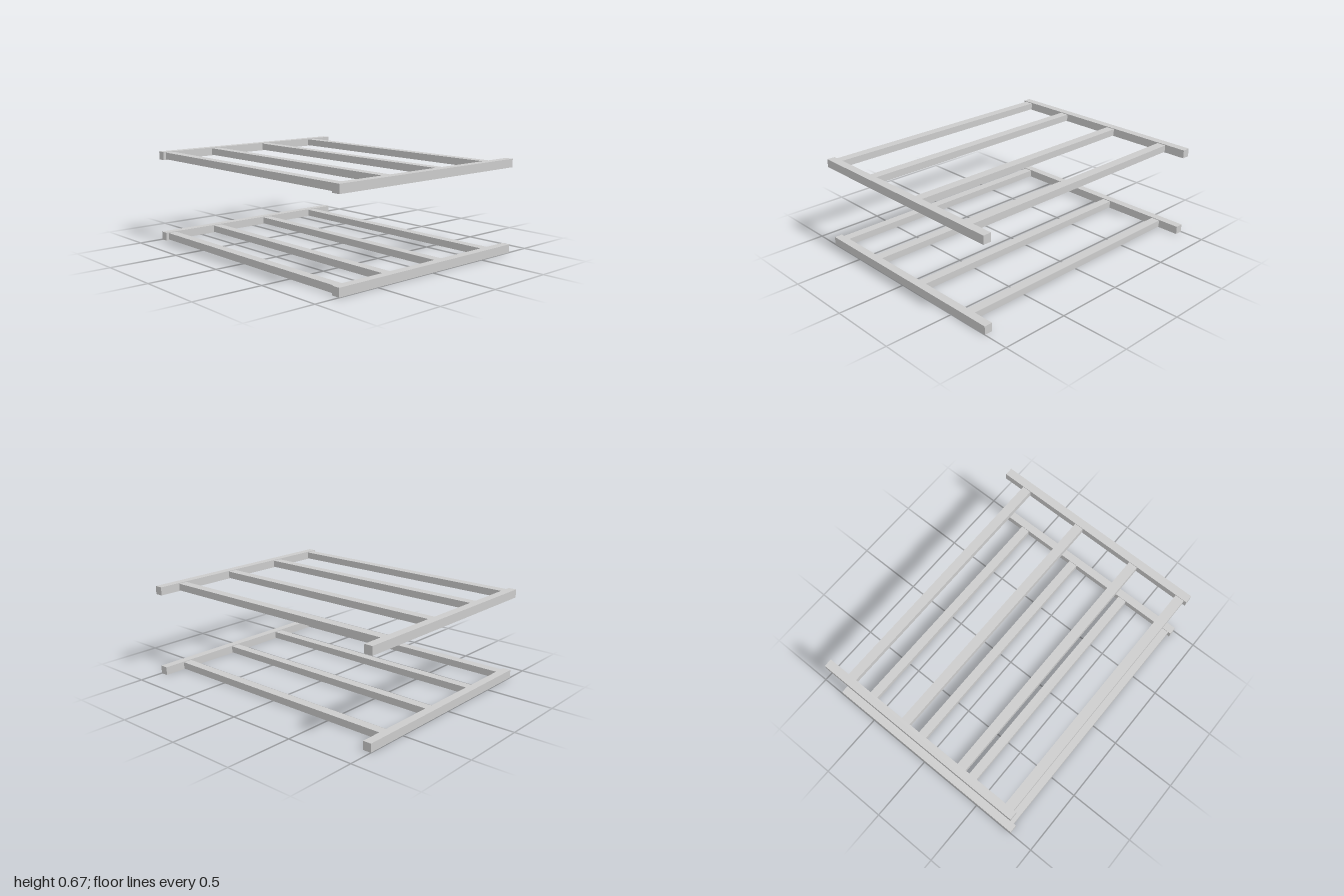
import * as THREE from 'three';

export function createModel() {
  const model = new THREE.Group();
  const material = new THREE.MeshStandardMaterial({ color: 0xcccccc, flatShading: true });

  const addBar = (parent, name, size, position) => {
    const mesh = new THREE.Mesh(new THREE.BoxGeometry(...size), material);
    mesh.name = name;
    mesh.position.set(...position);
    parent.add(mesh);
  };

  const railSize = 0.06, railLength = 1.63;
  const barZ = [-0.617, -0.132, 0.354, 0.76];

  // Two identical ladder frames, one above the other
  [['lowerFrame', 0], ['upperFrame', 0.612]].forEach(([name, y]) => {
    const frame = new THREE.Group();
    frame.name = name;
    frame.position.y = y + railSize / 2;
    // Side rails
    for (const side of [-1, 1]) {
      addBar(frame, side > 0 ? 'leftRail' : 'rightRail',
        [railSize, railSize, railLength], [side * (1 - railSize / 2), 0, 0]);
    }
    // Crossbars fitted between the rails, slightly thinner than them
    barZ.forEach((z, i) => addBar(frame, `crossbar${i + 1}`,
      [2 - 2 * railSize, 0.05, 0.068], [0, 0, z]));
    model.add(frame);
  });

  return model;
}
